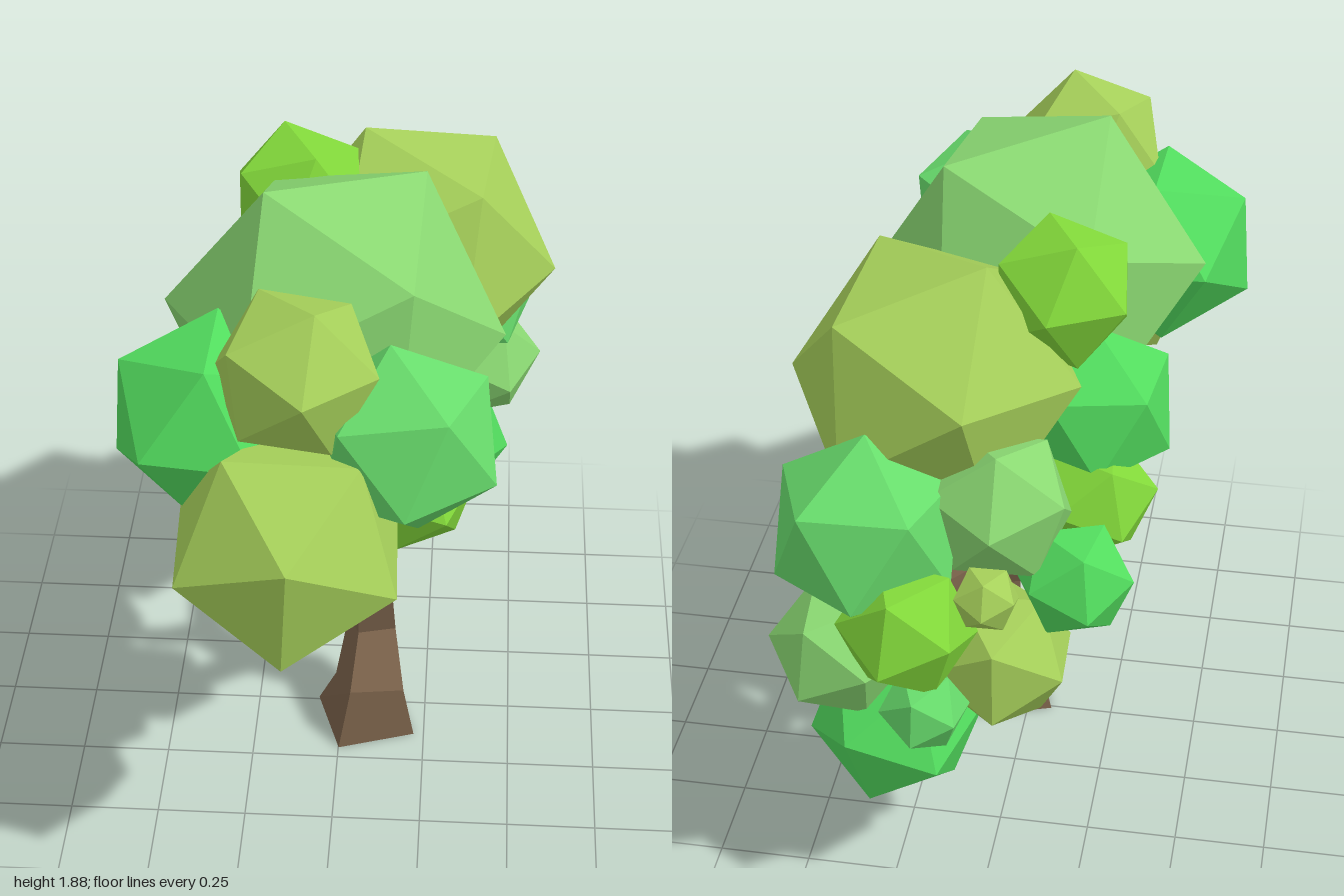
import * as THREE from 'three';

const SIDES = 4;
const bark = new THREE.MeshStandardMaterial({ color: 0x786049, flatShading: true });

// Tapered limb lofted through points [x, y, z, radius], closed at both ends
function limb(name, points, flatBase = false) {
  const centres = points.map(([x, y, z]) => new THREE.Vector3(x, y, z));
  const last = centres.length - 1;
  const pos = [];
  const index = [];
  centres.forEach((c, i) => {
    const t = centres[Math.min(i + 1, last)].clone().sub(centres[Math.max(i - 1, 0)]).normalize();
    if (flatBase && i === 0) t.set(0, 1, 0);
    const side = new THREE.Vector3(1, 0, 0).addScaledVector(t, -t.x).normalize();
    const bin = t.clone().cross(side);
    for (let j = 0; j < SIDES; j++) {
      const a = (j / SIDES) * Math.PI * 2 - 0.47;
      const p = c.clone()
        .addScaledVector(side, Math.cos(a) * points[i][3])
        .addScaledVector(bin, Math.sin(a) * points[i][3]);
      pos.push(p.x, p.y, p.z);
    }
  });
  for (let i = 0; i < last; i++) {
    for (let j = 0; j < SIDES; j++) {
      const a = i * SIDES + j;
      const b = i * SIDES + ((j + 1) % SIDES);
      index.push(a, b, b + SIDES, a, b + SIDES, a + SIDES);
    }
  }
  const top = last * SIDES;
  for (let j = 1; j < SIDES - 1; j++) {
    index.push(0, j + 1, j, top, top + j, top + j + 1);
  }
  const geo = new THREE.BufferGeometry();
  geo.setAttribute('position', new THREE.Float32BufferAttribute(pos, 3));
  geo.setIndex(index);
  geo.computeVertexNormals();
  const mesh = new THREE.Mesh(geo, bark);
  mesh.name = name;
  return mesh;
}

// Rotation whose first axis is a and whose second axis leans towards b
function frame(a, b) {
  const e1 = a.clone().normalize();
  const e3 = e1.clone().cross(b).normalize();
  const e2 = e3.clone().cross(e1);
  return new THREE.Quaternion().setFromRotationMatrix(new THREE.Matrix4().makeBasis(e1, e2, e3));
}

// Leaf clump: two neighbouring corners are turned towards the given directions,
// by default outwards from the middle of the crown and upwards
const PHI = (1 + Math.sqrt(5)) / 2;
const restFrame = frame(new THREE.Vector3(0, 1, PHI), new THREE.Vector3(0, -1, PHI)).invert();

function clump([x, y, z, r, color, first = [x, y - 1.1, z], second = [0, 1, 0]], i) {
  const mesh = new THREE.Mesh(
    new THREE.IcosahedronGeometry(r, 0),
    new THREE.MeshStandardMaterial({ color, flatShading: true })
  );
  mesh.position.set(x, y, z);
  mesh.quaternion.copy(frame(new THREE.Vector3(...first), new THREE.Vector3(...second)));
  mesh.quaternion.multiply(restFrame);
  mesh.name = `leafClump${i + 1}`;
  return mesh;
}

const OLIVE = 0xa6d05a;
const LIME = 0x82d83a;
const BRIGHT = 0x52dc5e;
const MID = 0x68dc6c;
const PALE = 0x8ad872;

// x, y, z, radius, colour, directions of two corners
const CLUMPS = [
  [-0.01, 1.47, 0.14, 0.45, PALE, [-0.17, 0.4, 0.07], [0.29, 0.32, -0.2]],
  [0.19, 1.385, -0.35, 0.39, OLIVE, [0.18, 0.29, 0.2], [0.24, 0.29, -0.22]],
  [-0.095, 1.155, 0.705, 0.325, OLIVE, [0.02, 0.13, 0.3], [0, -0.19, 0.23]],
  [-0.08, 1.59, 0.58, 0.222, OLIVE, [0.03, 0.03, 0.2], [0.05, 0.21, 0.02]],
  [-0.315, 1.37, 0.46, 0.272, BRIGHT, [-0.25, -0.13, -0.01], [-0.23, 0.16, 0]],
  [0.19, 1.38, 0.55, 0.26, MID, [0.235, -0.07, 0.09], [0.18, 0.2, -0.14]],
  [0.2, 1.07, 0.32, 0.19, LIME],
  [0.31, 1.12, -0.67, 0.267, MID, [0.24, -0.12, -0.1], [0.23, 0.11, 0.07]],
  [0.375, 0.775, -0.735, 0.192, PALE],
  [0.245, 0.51, -0.68, 0.24, BRIGHT, [0.23, -0.05, -0.03], [0.1, 0.2, 0]],
  [0.18, 0.925, -0.82, 0.185, LIME],
  [-0.03, 0.735, -0.65, 0.205, OLIVE],
  [-0.02, 1.02, -0.79, 0.09, OLIVE],
  [-0.22, 0.97, -0.61, 0.16, BRIGHT],
  [-0.22, 1.02, -0.31, 0.178, LIME],
  [-0.2, 1.23, -0.18, 0.24, BRIGHT],
  [-0.13, 1.61, -0.25, 0.202, LIME],
  [-0.02, 1.16, -0.58, 0.205, PALE],
  [0.13, 0.71, -0.87, 0.12, MID],
];

export function createModel() {
  const tree = new THREE.Group();
  tree.name = 'tree';

  // Crooked trunk with a flared foot
  tree.add(limb('trunk', [
    [0.075, 0, 0.065, 0.163],
    [0.085, 0.14, 0.07, 0.115],
    [0.086, 0.28, -0.038, 0.08],
    [0.08, 0.5, -0.01, 0.07],
    [0.08, 0.7, -0.05, 0.067],
    [0.06, 0.86, 0.04, 0.038],
    [0.05, 1.2, 0.11, 0.018],
  ], true));

  // Front limb and its twigs
  tree.add(limb('frontLimb', [
    [0.08, 0.46, -0.01, 0.062],
    [0.07, 0.58, 0.08, 0.053],
    [0.05, 0.78, 0.27, 0.046],
  ]));
  tree.add(limb('frontTwig', [
    [0.06, 0.76, 0.24, 0.036],
    [-0.09, 0.78, 0.48, 0.022],
    [-0.08, 0.98, 0.58, 0.012],
  ]));
  tree.add(limb('frontUpperTwig', [
    [0.05, 0.74, 0.25, 0.038],
    [0.09, 0.82, 0.28, 0.024],
    [0.13, 1.02, 0.32, 0.012],
  ]));

  // Back limb and its twigs
  tree.add(limb('backLimb', [
    [0.08, 0.66, -0.02, 0.06],
    [0.08, 0.7, -0.12, 0.048],
    [0.1, 0.77, -0.31, 0.042],
  ]));
  tree.add(limb('backUpperTwig', [
    [0.1, 0.75, -0.3, 0.04],
    [0.11, 0.87, -0.29, 0.027],
    [0.13, 1.15, -0.31, 0.018],
  ]));
  tree.add(limb('backOuterTwig', [
    [0.1, 0.77, -0.27, 0.04],
    [0.17, 0.79, -0.42, 0.026],
    [0.27, 0.85, -0.64, 0.014],
  ]));
  tree.add(limb('backLowerTwig', [
    [0.1, 0.78, -0.27, 0.036],
    [0.15, 0.72, -0.4, 0.022],
    [0.21, 0.63, -0.53, 0.006],
  ]));

  // Foliage
  const foliage = new THREE.Group();
  foliage.name = 'foliage';
  CLUMPS.forEach((c, i) => foliage.add(clump(c, i)));
  tree.add(foliage);

  return tree;
}
